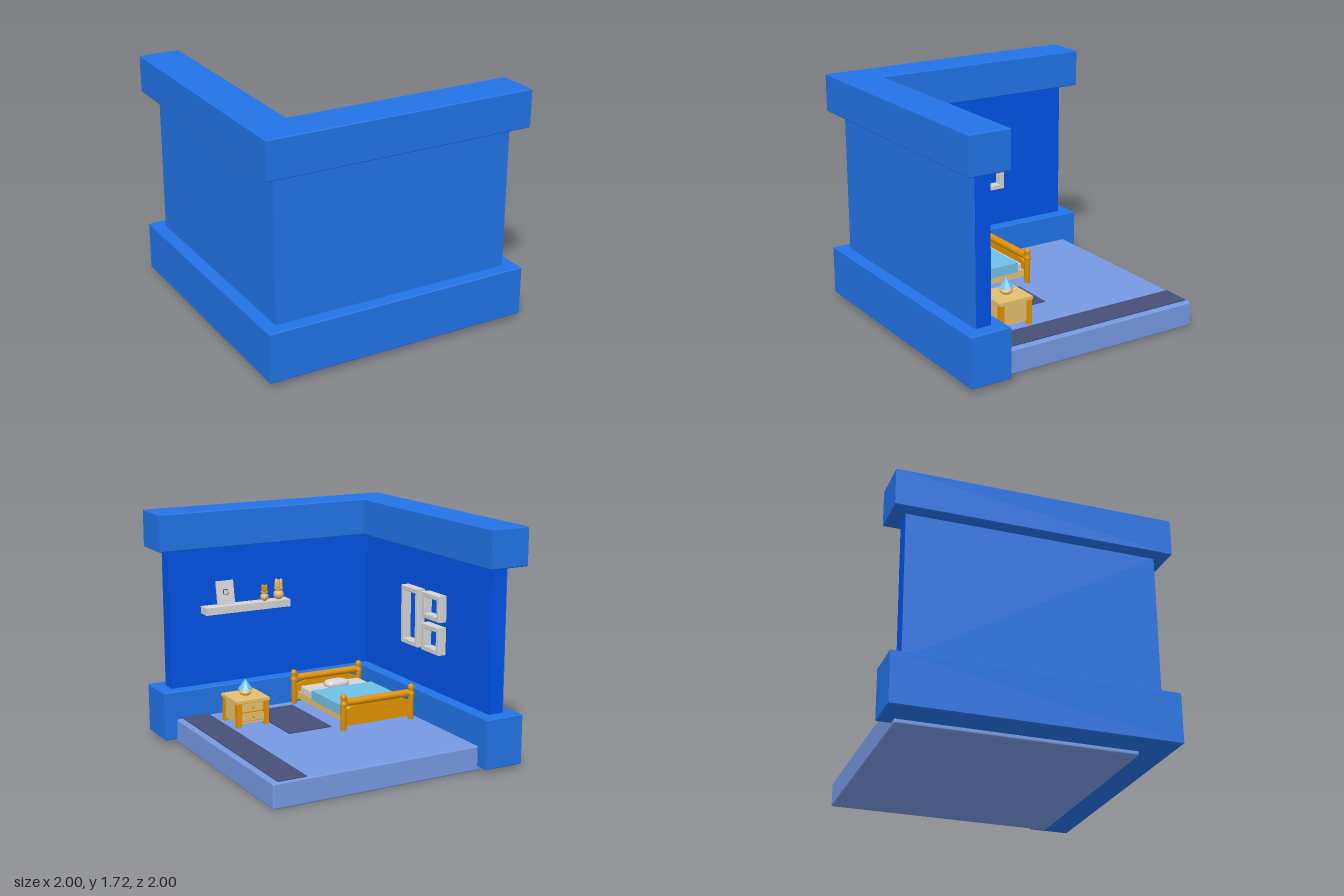
import * as THREE from 'three';
import { RoundedBoxGeometry } from 'three/addons/geometries/RoundedBoxGeometry.js';

const mat = (name, color, flat = false) => {
  const m = new THREE.MeshStandardMaterial({ color, flatShading: flat });
  m.name = name;
  return m;
};

export function createModel() {
  const root = new THREE.Group();
  root.name = 'bedroom';
  const trim = mat('trim blue', 0x2273e6);
  const wall = mat('wall blue', 0x0052e6);
  const floorMat = mat('floor lavender', 0x7699e2);
  const navy = mat('rug navy', 0x475077);
  const gold = mat('dark wood', 0xe09200);
  const tan = mat('light wood', 0xe4c06e);
  const grey = mat('pale grey', 0xd4d4d4);
  const sky = mat('sky blue', 0x76c8f2, true);
  const clay = mat('clay', 0xeec070);

  const add = (name, geo, material, parent = root) => {
    const m = new THREE.Mesh(geo, material);
    m.name = name;
    parent.add(m);
    return m;
  };
  // Box given by its minimum and maximum on each axis
  const box = (name, x0, x1, y0, y1, z0, z1, material, parent, round = 0) => {
    const s = [x1 - x0, y1 - y0, z1 - z0];
    const geo = round ? new RoundedBoxGeometry(...s, 2, round) : new THREE.BoxGeometry(...s);
    const m = add(name, geo, material, parent);
    m.position.set((x0 + x1) / 2, (y0 + y1) / 2, (z0 + z1) / 2);
    return m;
  };
  const group = (name) => {
    const g = new THREE.Group();
    g.name = name;
    root.add(g);
    return g;
  };
  const rect = (Type, x0, x1, y0, y1) => {
    const p = new Type();
    p.moveTo(x0, y0); p.lineTo(x1, y0); p.lineTo(x1, y1); p.lineTo(x0, y1); p.closePath();
    return p;
  };
  // Extrusion with a small chamfer that keeps the outline size
  const chamfered = (shape, depth, c) => {
    const geo = new THREE.ExtrudeGeometry(shape, {
      depth: depth - 2 * c, bevelThickness: c, bevelSize: c, bevelOffset: -c, bevelSegments: 1,
    });
    return geo.translate(0, 0, c);
  };

  // L-shaped bands at the foot and the head of the walls
  const ell = new THREE.Shape([[-1, -1], [-0.697, -1], [-0.697, 0.694], [1, 0.694], [1, 1], [-1, 1]]
    .map(([x, z]) => new THREE.Vector2(x, z)));
  for (const [name, y0, y1] of [['lowerTrim', 0.03, 0.395], ['upperTrim', 1.445, 1.72]]) {
    const geo = chamfered(ell, y1 - y0, 0.006);
    geo.rotateX(Math.PI / 2);
    add(name, geo, trim).position.y = y1;
  }

  // Walls: blue core with a thin outer skin
  box('frontWall', -0.9, 0.9, 0.39, 1.45, 0.785, 0.9, wall);
  box('frontWallSkin', -0.905, 0.9, 0.39, 1.45, 0.9, 0.905, trim);
  box('sideWallSkin', -0.905, -0.9, 0.39, 1.45, -0.9, 0.905, trim);

  // Windows as [z0, z1, y0, y1], cut through the side wall core
  const windows = [[-0.06, 0.17, 0.7, 1.14], [-0.345, -0.115, 0.945, 1.14], [-0.345, -0.115, 0.7, 0.905]];
  const sill = 0.037;
  const hole = ([z0, z1, y0, y1]) => rect(THREE.Path, -z1 + sill, -z0 - sill, y0 + sill, y1 - sill);
  const side = rect(THREE.Shape, -0.785, 0.9, 0.39, 1.45);
  side.holes = windows.map(hole);
  const sideGeo = new THREE.ExtrudeGeometry(side, { depth: 0.115, bevelEnabled: false });
  sideGeo.rotateY(Math.PI / 2);
  add('sideWall', sideGeo, wall).position.x = -0.9;
  for (const w of windows) {
    const s = rect(THREE.Shape, -w[1], -w[0], w[2], w[3]);
    s.holes = [hole(w)];
    const geo = chamfered(s, 0.07, 0.004);
    geo.rotateY(Math.PI / 2);
    add('windowFrame', geo, grey).position.x = -0.79;
  }

  // Floor slab and rugs
  box('floor', -0.78, 0.9, 0, 0.18, -0.9, 0.78, floorMat, root, 0.012);
  box('runner', 0.645, 0.855, 0.178, 0.191, -0.88, 0.74, navy, root, 0.004);
  box('rug', -0.015, 0.33, 0.178, 0.188, -0.02, 0.6, navy);

  // Bed
  const bed = group('bed');
  box('bedFrame', -0.605, -0.085, 0.22, 0.275, -0.12, 0.65, tan, bed);
  box('mattress', -0.6, -0.09, 0.265, 0.328, -0.095, 0.605, grey, bed, 0.01);
  box('blanket', -0.607, -0.083, 0.265, 0.34, -0.06, 0.41, sky, bed);
  const pillowGeo = new THREE.SphereGeometry(1, 16, 12);
  const pp = pillowGeo.attributes.position;
  const square = (v, p) => Math.sign(v) * Math.abs(v) ** p;
  for (let i = 0; i < pp.count; i++) {
    pp.setXYZ(i, 0.1 * square(pp.getX(i), 0.6), 0.035 * pp.getY(i), 0.058 * square(pp.getZ(i), 0.6));
  }
  pillowGeo.computeVertexNormals();
  add('pillow', pillowGeo, grey, bed).position.set(-0.345, 0.342, 0.495);

  // Turned bedpost profile
  const post = new THREE.LatheGeometry([[0, 0], [0.021, 0], [0.021, 0.17], [0.026, 0.19], [0.026, 0.205],
    [0.016, 0.22], [0.023, 0.235], [0.025, 0.25], [0.018, 0.265], [0, 0.273]]
    .map(([r, y]) => new THREE.Vector2(r, y)), 12);
  // Arched panel between the posts
  const arch = new THREE.Shape();
  arch.moveTo(-0.27, 0.21); arch.lineTo(0.27, 0.21); arch.lineTo(0.27, 0.33);
  arch.quadraticCurveTo(0, 0.43, -0.27, 0.33); arch.closePath();
  const archGeo = new THREE.ExtrudeGeometry(arch, { depth: 0.024, bevelEnabled: false, curveSegments: 10 });
  archGeo.translate(0, 0, -0.012);
  for (const [name, z] of [['headboard', 0.652], ['footboard', -0.125]]) {
    const board = group(name);
    board.position.set(-0.345, 0, z);
    bed.add(board);
    add('panel', archGeo, gold, board);
    const rail = add('topRail', new THREE.CylinderGeometry(0.028, 0.028, 0.52, 12), gold, board);
    rail.rotation.z = Math.PI / 2;
    rail.position.y = 0.385;
    for (const s of [-1, 1]) add('bedpost', post, gold, board).position.set(s * 0.287, 0.18, 0);
  }

  // Nightstand, drawers facing the back
  const stand = group('nightstand');
  box('standTop', 0.34, 0.61, 0.363, 0.385, 0.267, 0.537, tan, stand);
  box('standBody', 0.36, 0.59, 0.205, 0.364, 0.287, 0.517, tan, stand);
  for (const x of [0.347, 0.568]) for (const z of [0.273, 0.496]) {
    box('standLeg', x, x + 0.035, 0.18, 0.364, z, z + 0.035, gold, stand);
  }
  for (const y of [0.225, 0.295]) {
    box('drawerGap', 0.385, 0.565, y - 0.006, y + 0.064, 0.283, 0.288, gold, stand);
    box('drawer', 0.391, 0.559, y, y + 0.058, 0.277, 0.285, tan, stand);
    const knob = add('drawerKnob', new THREE.SphereGeometry(0.009, 8, 6), gold, stand);
    knob.position.set(0.475, y + 0.029, 0.27);
  }

  // Lamp
  const lamp = group('lamp');
  lamp.position.set(0.475, 0.385, 0.4);
  const base = add('lampBase', new THREE.SphereGeometry(1, 14, 10), clay, lamp);
  base.scale.set(0.046, 0.026, 0.046);
  base.position.y = 0.025;
  add('lampShade', new THREE.ConeGeometry(0.056, 0.075, 8), sky, lamp).position.y = 0.087;

  // Shelf on the front wall
  const shelf = group('shelf');
  box('shelfBoard', -0.05, 0.65, 0.945, 1.0, 0.682, 0.787, grey, shelf);

  // Leaning picture
  const picture = group('picture');
  picture.position.set(0.46, 1.0, 0.745);
  picture.rotation.x = 0.17;
  shelf.add(picture);
  box('pictureFrame', -0.07, 0.07, 0, 0.18, -0.008, 0.008, grey, picture);
  box('pictureInset', -0.02, 0.02, 0.075, 0.115, -0.012, -0.008, navy, picture);
  box('pictureCentre', -0.015, 0.015, 0.08, 0.11, -0.015, -0.012, grey, picture);

  // Potted plants with rounded ribs
  for (const [x, k, ribMat] of [[0.03, 1, clay], [0.15, 0.8, gold]]) {
    const plant = group('pottedPlant');
    plant.position.set(x, 1.0, 0.727);
    plant.scale.setScalar(k);
    shelf.add(plant);
    const pot = add('pot', new THREE.SphereGeometry(0.04, 12, 10), clay, plant);
    pot.position.y = 0.039;
    add('potRim', new THREE.CylinderGeometry(0.036, 0.028, 0.025, 12), clay, plant).position.y = 0.078;
    for (let i = 0; i < 6; i++) {
      const a = i * Math.PI / 3;
      const rib = add('rib', new THREE.CapsuleGeometry(0.012, 0.045, 4, 8), ribMat, plant);
      rib.position.set(Math.cos(a) * 0.02, 0.11 + (i % 2) * 0.012, Math.sin(a) * 0.02);
    }
  }
  return root;
}
